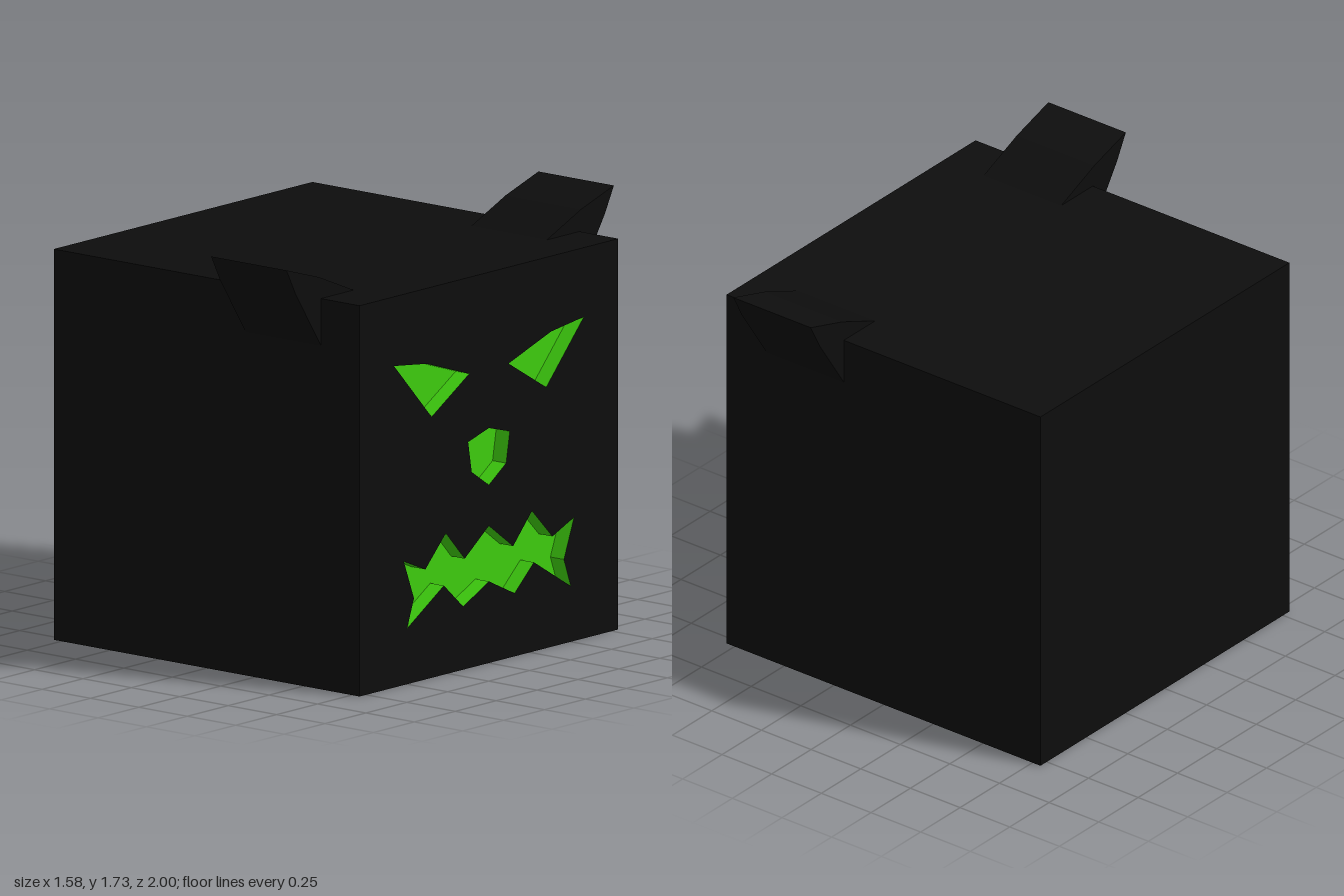
import * as THREE from 'three';

const HALF = 0.79, DEPTH = 0.07;

const black = new THREE.MeshStandardMaterial({ color: 0x0d0d0d, flatShading: true });
const green = new THREE.MeshStandardMaterial({ color: 0x3dcc0e, flatShading: true });

const mirror = (pts) => pts.map(([u, v]) => [-u, v]).reverse();
// Closes a half outline whose first and last points lie on the centre line
const symmetric = (half) => [...half, ...mirror(half.slice(1, -1))];
const toPoints = (pts) => {
  const out = pts.map(([u, v]) => new THREE.Vector2(u, v));
  return THREE.ShapeUtils.isClockWise(out) ? out.reverse() : out;
};

function addMesh(parent, name, geometry, material) {
  const mesh = new THREE.Mesh(geometry, material);
  mesh.name = name;
  parent.add(mesh);
  return mesh;
}

// Inward-facing side walls of a recess, from the face plane back to its floor
function recessWalls(points) {
  const pos = [];
  points.forEach((a, i) => {
    const b = points[(i + 1) % points.length];
    pos.push(a.x, a.y, -DEPTH, a.x, a.y, 0, b.x, b.y, 0);
    pos.push(a.x, a.y, -DEPTH, b.x, b.y, 0, b.x, b.y, -DEPTH);
  });
  const g = new THREE.BufferGeometry();
  g.setAttribute('position', new THREE.Float32BufferAttribute(pos, 3));
  g.computeVertexNormals();
  return g;
}

export function createModel() {
  const model = new THREE.Group();
  model.name = 'carvedBlock';

  // Cube body, left open on the carved +x side
  const box = new THREE.BoxGeometry(2 * HALF, 2 * HALF, 2 * HALF);
  box.setIndex(Array.from(box.index.array).slice(6));
  box.clearGroups();
  addMesh(model, 'body', box, black).position.y = HALF;

  // Outlines of the carved features
  const eye = [[0.58, 1.3], [0.38, 1.275], [0.12, 1.19], [0.35, 1.055]];
  const nose = symmetric([[0, 0.95], [0.127, 0.915], [0.105, 0.79], [0, 0.72]]);
  const mouth = symmetric([
    [0, 0.555], [0.148, 0.447], [0.263, 0.57], [0.388, 0.445], [0.52, 0.5],
    [0.458, 0.34], [0.5, 0.225], [0.275, 0.36], [0.157, 0.255], [0, 0.33],
  ]);
  const features = { leftEye: eye, rightEye: mirror(eye), nose, mouth };

  // Carved side: local x runs along -z, local z points out along +x
  const face = new THREE.Group();
  face.name = 'face';
  face.rotation.y = Math.PI / 2;
  face.position.x = HALF;
  model.add(face);

  const plate = new THREE.Shape(toPoints([[-HALF, 0], [HALF, 0], [HALF, 2 * HALF], [-HALF, 2 * HALF]]));
  for (const [name, outline] of Object.entries(features)) {
    const points = toPoints(outline);
    plate.holes.push(new THREE.Path(points));
    const recess = new THREE.Group();
    recess.name = name;
    face.add(recess);
    addMesh(recess, name + 'Walls', recessWalls(points), green);
    addMesh(recess, name + 'Floor', new THREE.ShapeGeometry(new THREE.Shape(points)), green).position.z = -DEPTH;
  }
  addMesh(face, 'facePlate', new THREE.ShapeGeometry(plate), black);

  // Pointed ears on the upper edges, extruded along x
  const ear = [[0.59, 1.58], [0.79, 1.39], [0.945, 1.625], [1, 1.73], [0.8, 1.668]];
  for (const [name, outline] of [['rearEar', ear], ['frontEar', mirror(ear)]]) {
    const g = new THREE.ExtrudeGeometry(new THREE.Shape(toPoints(outline)), { depth: 0.39, bevelEnabled: false });
    addMesh(face, name, g, black).position.z = 0.2 - HALF;
  }
  return model;
}
